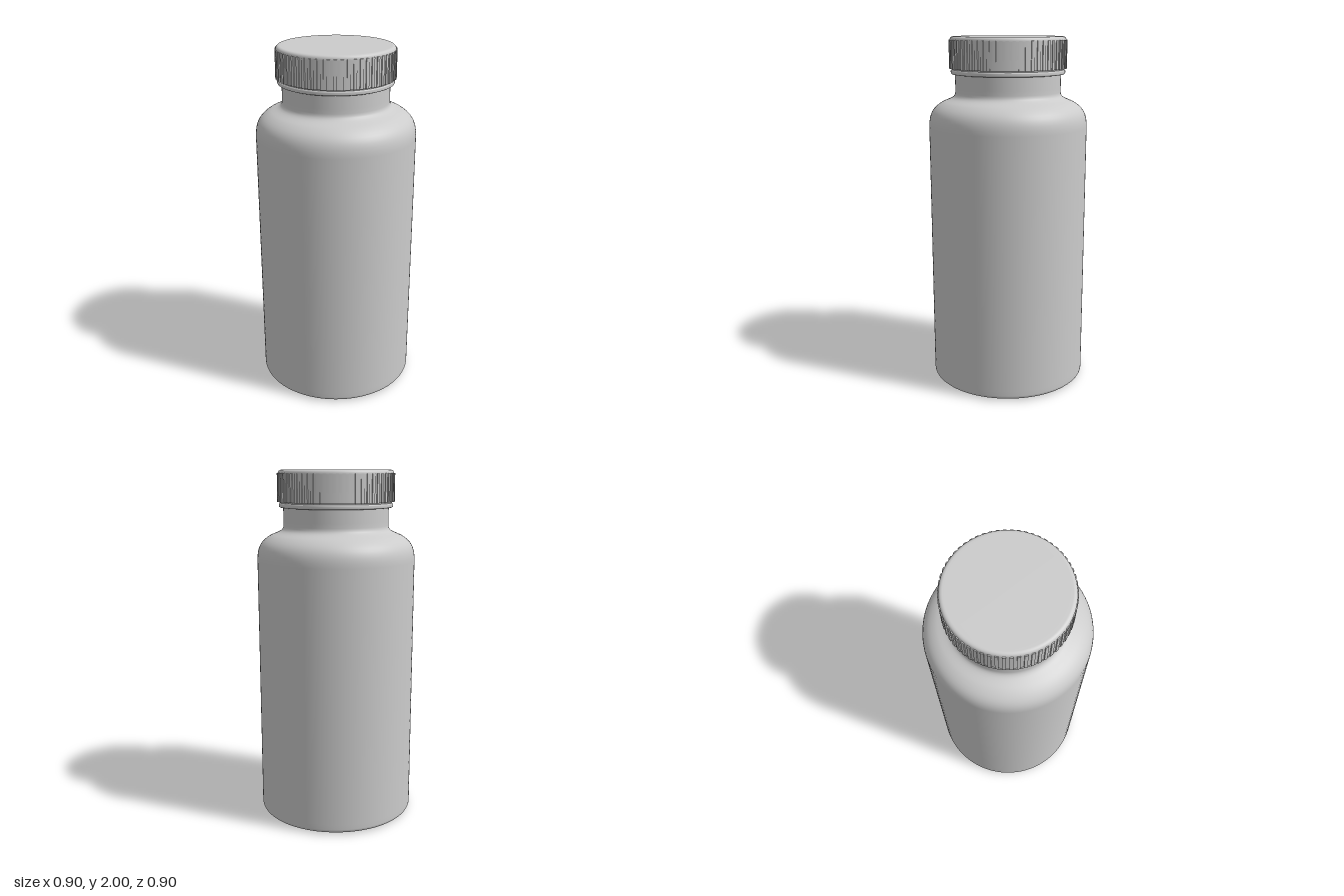
import * as THREE from 'three';

const material = new THREE.MeshStandardMaterial({ color: 0xcccccc });
const SEGMENTS = 96;

function addMesh(group, name, geometry) {
  const mesh = new THREE.Mesh(geometry, material);
  mesh.name = name;
  group.add(mesh);
  return mesh;
}

// Lathe around y from a path running bottom to top
function lathe(path, divisions = 8) {
  return new THREE.LatheGeometry(path.getPoints(divisions), SEGMENTS);
}

// Gear outline: alternating raised ribs and grooves, drawn as arcs
function ribOutline(count, inner, outer) {
  const shape = new THREE.Shape();
  const step = (Math.PI * 2) / count;
  for (let i = 0; i < count; i++) {
    const start = i * step;
    shape.absarc(0, 0, outer, start, start + step * 0.5, false);
    shape.absarc(0, 0, inner, start + step * 0.5, start + step, false);
  }
  return shape;
}

export function createModel() {
  const model = new THREE.Group();
  model.name = 'bottle';

  // Body: flat base, rounded heel, straight wall, soft shoulder and neck
  const body = new THREE.Path();
  body.moveTo(0, 0);
  body.lineTo(0.2, 0);
  body.lineTo(0.385, 0);
  body.bezierCurveTo(0.425, 0.002, 0.449, 0.008, 0.449, 0.03);
  body.lineTo(0.449, 0.06);
  body.lineTo(0.449, 1.5);
  body.bezierCurveTo(0.449, 1.575, 0.425, 1.608, 0.375, 1.637);
  body.bezierCurveTo(0.335, 1.657, 0.298, 1.66, 0.298, 1.695);
  body.lineTo(0.298, 1.72);
  body.lineTo(0.298, 1.83);
  addMesh(model, 'body', lathe(body));

  // Tamper ring: thin rounded band under the cap
  const ring = new THREE.Path();
  ring.moveTo(0.295, 1.793);
  ring.lineTo(0.31, 1.793);
  ring.quadraticCurveTo(0.322, 1.794, 0.322, 1.802);
  ring.lineTo(0.322, 1.81);
  ring.quadraticCurveTo(0.322, 1.818, 0.312, 1.819);
  ring.lineTo(0.295, 1.819);
  addMesh(model, 'tamperRing', lathe(ring));

  // Cap: short bridge above the ring, wall and rounded top edge
  const cap = new THREE.Group();
  cap.name = 'cap';
  model.add(cap);
  const shell = new THREE.Path();
  shell.moveTo(0.315, 1.815);
  shell.lineTo(0.315, 1.828);
  shell.lineTo(0.324, 1.829);
  shell.lineTo(0.324, 1.84);
  shell.lineTo(0.326, 1.975);
  shell.bezierCurveTo(0.326, 1.99, 0.32, 1.999, 0.304, 2);
  shell.lineTo(0.28, 2);
  shell.lineTo(0, 2);
  addMesh(cap, 'capShell', lathe(shell));

  // Grip ribs around the cap wall
  const outline = ribOutline(60, 0.3245, 0.331);
  outline.holes.push(new THREE.Path().absarc(0, 0, 0.31, 0, Math.PI * 2, true));
  const ribs = new THREE.ExtrudeGeometry(outline, {
    depth: 0.156, bevelEnabled: false, curveSegments: 2,
  });
  ribs.rotateX(-Math.PI / 2);
  ribs.translate(0, 1.825, 0);
  addMesh(cap, 'gripRibs', ribs);

  return model;
}
